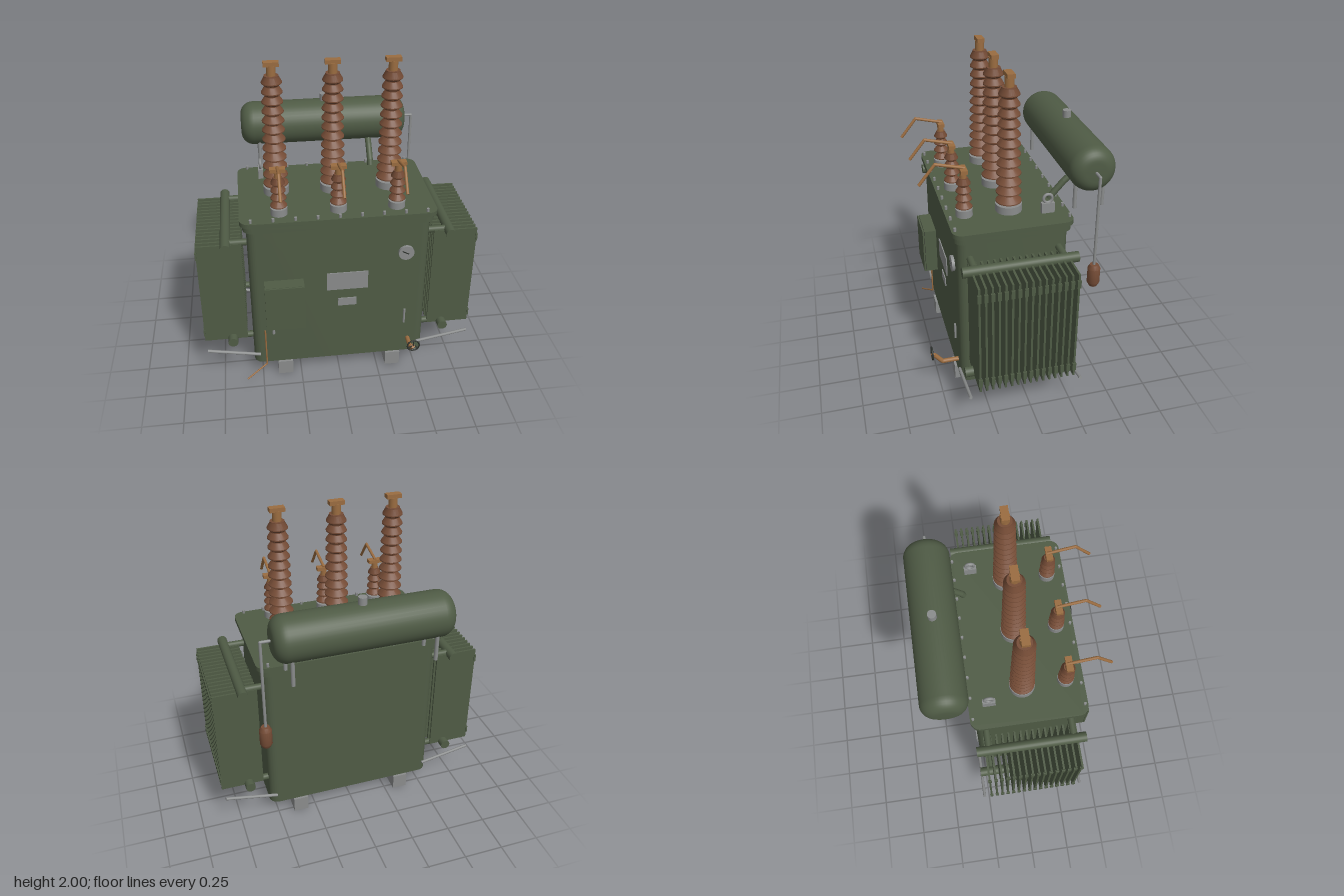
import * as THREE from 'three';
import { toCreasedNormals } from 'three/addons/utils/BufferGeometryUtils.js';

const paint = (name, color) => Object.assign(new THREE.MeshStandardMaterial({ color }), { name });
const V = (x, y, z) => new THREE.Vector3(x, y, z);

export function createModel() {
  const model = new THREE.Group();
  model.name = 'transformer';
  const green = paint('olive green', 0x4f5b45);
  const steel = paint('galvanised grey', 0x8a8c8c);
  const brown = paint('brown porcelain', 0x754c36);
  const bronze = paint('bronze', 0x9a6c40);
  const dark = paint('dark iron', 0x2e322d);

  const add = (name, geometry, material, x = 0, y = 0, z = 0, parent = model) => {
    const mesh = new THREE.Mesh(geometry, material);
    mesh.name = name;
    mesh.position.set(x, y, z);
    parent.add(mesh);
    return mesh;
  };
  const box = (name, w, h, d, mat, x, y, z, parent) =>
    add(name, new THREE.BoxGeometry(w, h, d), mat, x, y, z, parent);
  const cyl = (name, r, h, mat, x, y, z, parent, sides = 24) =>
    add(name, new THREE.CylinderGeometry(r, r, h, sides), mat, x, y, z, parent);
  const lathe = (name, points, mat, x, y, z, parent, sides = 32) =>
    add(name, toCreasedNormals(new THREE.LatheGeometry(
      points.map(p => new THREE.Vector2(...p)), sides), 0.5), mat, x, y, z, parent);
  // Straight round bar between two points
  const bar = (name, a, b, r, mat, parent, sides = 16) => {
    const mesh = cyl(name, r, a.distanceTo(b), mat, 0, 0, 0, parent, sides);
    mesh.position.copy(a).add(b).multiplyScalar(0.5);
    mesh.quaternion.setFromUnitVectors(V(0, 1, 0), b.clone().sub(a).normalize());
    return mesh;
  };
  // Bent bar through several points, with ball joints at the bends
  const bentBar = (name, pts, r, mat, parent = model) => {
    const group = new THREE.Group();
    group.name = name;
    parent.add(group);
    pts.slice(1).forEach((p, i) => {
      bar(name + 'Run', pts[i], p, r, mat, group);
      if (i) add(name + 'Bend', new THREE.SphereGeometry(r, 12, 8), mat, ...pts[i], group);
    });
    return group;
  };
  // Upright slab with rounded vertical corners
  const slab = (name, w, d, y0, y1, r, mat) => {
    const s = new THREE.Shape(), a = w / 2, b = d / 2;
    s.moveTo(a, b - r);
    s.absarc(a - r, b - r, r, 0, Math.PI / 2);
    s.absarc(r - a, b - r, r, Math.PI / 2, Math.PI);
    s.absarc(r - a, r - b, r, Math.PI, Math.PI * 1.5);
    s.absarc(a - r, r - b, r, Math.PI * 1.5, Math.PI * 2);
    const g = new THREE.ExtrudeGeometry(s, { depth: y1 - y0, bevelEnabled: false, curveSegments: 8 });
    g.rotateX(-Math.PI / 2);
    return add(name, toCreasedNormals(g, 0.6), mat, 0, y0, 0.057);
  };

  // Tank, flanges and skids
  slab('tank', 1.1, 0.655, 0.1, 1.11, 0.055, green);
  slab('tankFlange', 1.14, 0.69, 1.1, 1.138, 0.06, green);
  slab('lid', 1.17, 0.71, 1.142, 1.17, 0.06, green);
  slab('gasket', 1.13, 0.68, 1.137, 1.143, 0.055, dark);
  for (const s of [-1, 1]) box('skid', 0.095, 0.1, 0.685, steel, s * 0.352, 0.05, 0.057);
  for (let i = 0; i < 9; i++)
    for (const z of [-0.28, 0.392]) cyl('lidBolt', 0.009, 0.022, steel, -0.52 + i * 0.13, 1.18, z, model, 6);

  // Ribbed insulator profile
  const sheds = (n, y0, y1, core, tip0, tip1) => {
    const p = (y1 - y0) / n, pts = [[0, y0]];
    for (let i = 0; i < n; i++) {
      const tip = tip0 + (tip1 - tip0) * i / (n - 1), y = y0 + i * p;
      pts.push([core, y], [tip, y + 0.25 * p], [tip, y + 0.36 * p], [core, y + 0.92 * p]);
    }
    pts.push([core, y1], [0, y1]);
    return pts;
  };
  for (const x of [-0.35, 0, 0.35]) {
    // Tall bushing
    const hv = new THREE.Group();
    hv.name = 'tallBushing';
    hv.position.set(x, 0, 0.038);
    model.add(hv);
    cyl('bushingBase', 0.078, 0.05, steel, 0, 1.192, 0, hv, 32);
    lathe('insulator', sheds(12, 1.215, 1.92, 0.042, 0.076, 0.06), brown, 0, 0, 0, hv);
    cyl('bushingCap', 0.027, 0.065, bronze, 0, 1.947, 0, hv);
    box('terminal', 0.09, 0.025, 0.045, bronze, 0, 1.9875, 0, hv);
    // Short bushing with its bent lead
    const lv = new THREE.Group();
    lv.name = 'shortBushing';
    lv.position.set(x, 0, 0.303);
    model.add(lv);
    cyl('bushingBase', 0.05, 0.045, steel, 0, 1.192, 0, lv, 32);
    lathe('insulator', sheds(4, 1.213, 1.41, 0.027, 0.049, 0.042), brown, 0, 0, 0, lv);
    cyl('bushingCap', 0.02, 0.045, bronze, 0, 1.43, 0, lv);
    box('terminal', 0.09, 0.022, 0.04, bronze, 0, 1.457, 0, lv);
    bentBar('lead', [V(0, 1.467, -0.01), V(0, 1.508, 0.157), V(0, 1.39, 0.252)], 0.009, bronze, lv);
  }

  // Oil conservator with rounded ends
  const profile = [[0, -0.535]], R = 0.139, c = 0.08;
  for (let i = 0; i <= 8; i++) {
    const t = i / 8 * Math.PI / 2;
    profile.push([R - c + c * Math.sin(t), -0.535 + c * (1 - Math.cos(t))]);
  }
  const ends = profile.slice().reverse().map(([r, y]) => [r, -y]);
  lathe('conservator', [...profile, ...ends], green, -0.007, 1.43, -0.425, model, 40).rotation.z = Math.PI / 2;
  cyl('fillerCap', 0.026, 0.06, steel, 0, 1.582, -0.425);
  for (const x of [-0.43, 0.43])
    for (const z of [-0.34, -0.51]) cyl('conservatorLeg', 0.012, 0.2, steel, x, 1.27, z, model, 12);
  bentBar('oilPipe', [V(0.285, 1.17, -0.235), V(0.285, 1.2, -0.25), V(0.285, 1.28, -0.32), V(0.285, 1.33, -0.38)], 0.02, green);

  // Breather
  bentBar('breatherPipe', [V(0.5, 1.43, -0.425), V(0.585, 1.43, -0.425), V(0.585, 0.85, -0.425)], 0.009, steel);
  lathe('breather', [[0, 0.715], [0.025, 0.715], [0.038, 0.74], [0.038, 0.835], [0.025, 0.86], [0, 0.86]],
    brown, 0.587, 0, -0.425, model, 20);

  // Lifting eyes
  for (const s of [-1, 1]) {
    box('liftingLug', 0.03, 0.065, 0.078, steel, s * 0.437, 1.2, -0.173);
    add('liftingRing', new THREE.TorusGeometry(0.026, 0.009, 10, 24), steel, s * 0.437, 1.258, -0.173).rotation.y = Math.PI / 2;
  }

  // Radiators
  for (const s of [-1, 1]) {
    const rad = new THREE.Group();
    rad.name = s > 0 ? 'leftRadiator' : 'rightRadiator';
    model.add(rad);
    for (let i = 0; i < 16; i++) {
      const z = -0.23 + i * 0.0376;
      box('fin', 0.27, 0.715, 0.012, green, s * 0.72, 0.637, z, rad);
      for (const y of [0.345, 0.93]) box('finTab', 0.012, 0.05, 0.022, green, s * 0.854, y, z, rad);
    }
    for (const y of [0.287, 0.995]) {
      bar('header', V(s * 0.678, y, -0.285), V(s * 0.678, y, 0.39), 0.031, green, rad, 24);
      for (const z of [-0.21, 0.315])
        bar('connectingPipe', V(s * 0.53, y, z), V(s * 0.678, y, z), 0.021, green, rad);
    }
    for (const z of [-0.28, 0.39])
      bar('brace', V(s * 0.51, 0.172, z), V(s * 0.842, 0.236, z), 0.01, steel, rad, 12);
  }

  // Control cabinet
  box('cabinet', 0.24, 0.31, 0.085, green, -0.343, 0.59, 0.42);
  box('cabinetSeam', 0.225, 0.295, 0.005, dark, -0.343, 0.59, 0.4635);
  box('cabinetDoor', 0.24, 0.31, 0.01, green, -0.343, 0.59, 0.47);
  cyl('conduit', 0.009, 0.1, steel, -0.42, 0.39, 0.395, model, 12);

  // Plates and gauges
  box('ratingPlate', 0.255, 0.125, 0.008, steel, 0.048, 0.707, 0.387);
  box('smallPlate', 0.115, 0.055, 0.008, steel, 0.048, 0.547, 0.387);
  cyl('dialGauge', 0.048, 0.018, steel, 0.406, 0.888, 0.393, model, 32).rotation.x = Math.PI / 2;
  box('dialNeedle', 0.045, 0.006, 0.004, dark, 0.4, 0.893, 0.403).rotation.z = -0.5;
  cyl('levelTube', 0.007, 0.105, steel, 0.417, 0.397, 0.392, model, 12);

  // Earthing rod
  bentBar('earthingRod', [V(-0.473, 0.365, 0.392), V(-0.473, 0.09, 0.392), V(-0.603, 0.027, 0.452)], 0.005, bronze);

  // Drain valve with handwheel
  bentBar('drainValve', [V(0.45, 0.203, 0.37), V(0.45, 0.203, 0.485), V(0.45, 0.262, 0.535)], 0.014, bronze);
  bar('valveStem', V(0.45, 0.262, 0.53), V(0.45, 0.275, 0.552), 0.009, bronze);
  const wheel = new THREE.Group();
  wheel.name = 'handwheel';
  wheel.position.set(0.45, 0.277, 0.548);
  model.add(wheel);
  add('wheelRim', new THREE.TorusGeometry(0.038, 0.005, 8, 28), dark, 0, 0, 0, wheel);
  for (let i = 0; i < 3; i++) {
    const a = Math.PI / 2 + i * Math.PI * 2 / 3;
    bar('wheelSpoke', V(0, 0, 0), V(0.038 * Math.cos(a), 0.038 * Math.sin(a), 0), 0.004, dark, wheel, 8);
  }
  return model;
}
